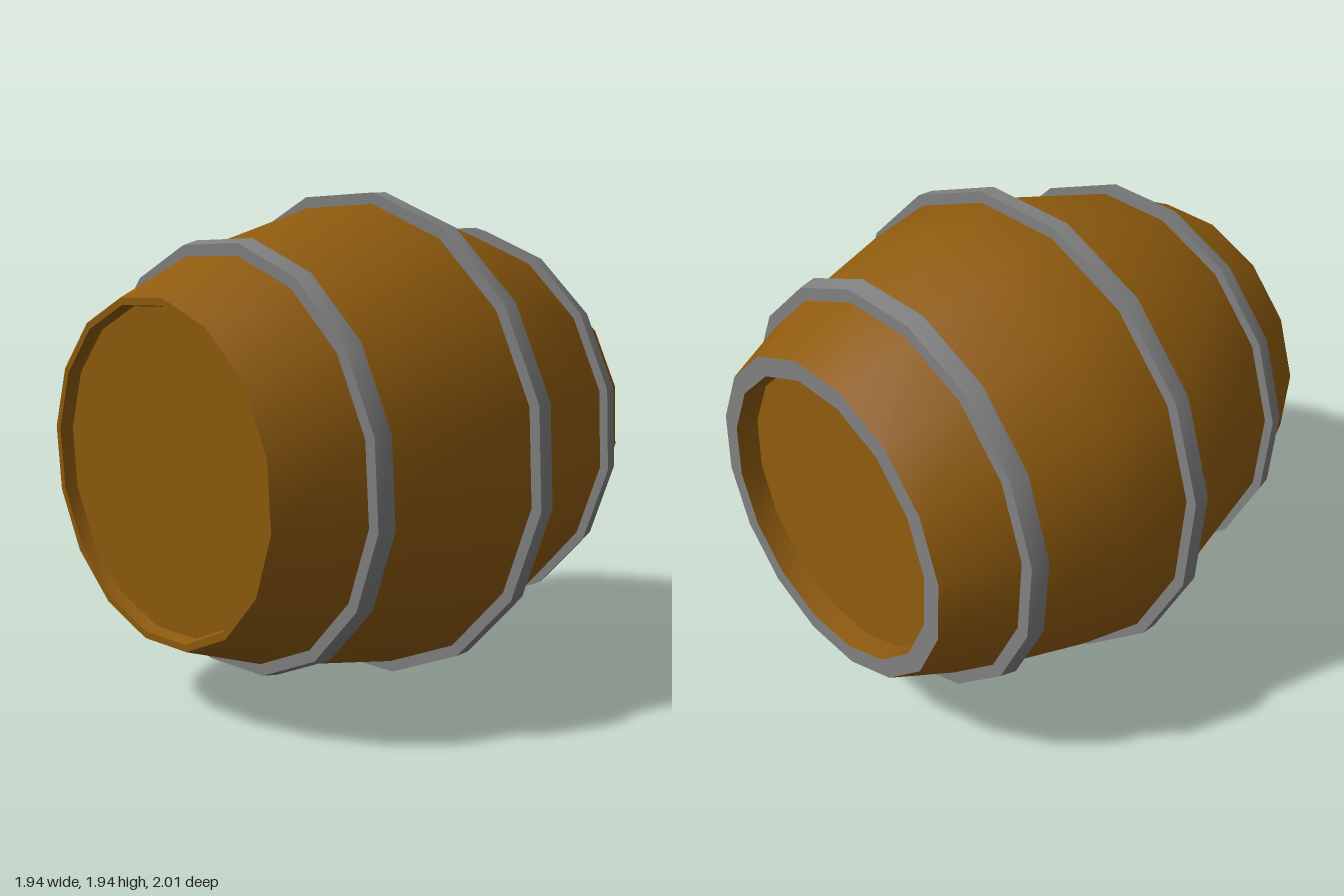
import * as THREE from 'three';
import { toCreasedNormals } from 'three/addons/utils/BufferGeometryUtils.js';

const SIDES = 16;
const wood = new THREE.MeshStandardMaterial({ color: 0x8f5b0e });
const metal = new THREE.MeshStandardMaterial({ color: 0x808080 });

// Revolve [radius, z] points around the z axis, listed back to front along the outside
function turned(name, profile, material) {
  const points = profile.map(([r, z]) => new THREE.Vector2(r, z));
  const lathe = new THREE.LatheGeometry(points, SIDES, Math.PI / SIDES).rotateX(Math.PI / 2);
  const mesh = new THREE.Mesh(toCreasedNormals(lathe, 0.6), material);
  mesh.name = name;
  return mesh;
}

// Closed band with a slightly sloped outer face
function hoop(name, z, inner, backRadius, frontRadius) {
  const h = 0.033;
  return turned(name, [
    [inner, z - h], [backRadius, z - h], [frontRadius, z + h], [inner, z + h], [inner, z - h],
  ], metal);
}

export function createModel() {
  const barrel = new THREE.Group();
  barrel.name = 'barrel';

  // Bulging staves with the front rim and recessed front head
  barrel.add(turned('staves', [
    [0.64, -0.97], [0.783, -0.665], [0.887, -0.325], [0.948, -0.035],
    [0.785, 0.62], [0.64, 0.97], [0.613, 0.97],
  ], wood));
  barrel.add(turned('frontHead', [[0.613, 0.97], [0.605, 0.92], [0, 0.92]], wood));

  // Recessed back head inside a metal end ring
  barrel.add(turned('backHead', [[0, -0.88], [0.56, -0.88], [0.565, -0.97]], wood));
  barrel.add(turned('backRim', [[0.565, -0.97], [0.64, -0.97]], metal));

  // Three hoops
  barrel.add(hoop('backHoop', -0.675, 0.74, 0.812, 0.828));
  barrel.add(hoop('middleHoop', -0.035, 0.9, 0.984, 0.984));
  barrel.add(hoop('frontHoop', 0.622, 0.74, 0.83, 0.815));

  // Lies on its side, slightly askew
  barrel.rotation.set(0.048, 0.031, 0.012);
  barrel.position.y = 0.971;

  const model = new THREE.Group();
  model.add(barrel);
  return model;
}
